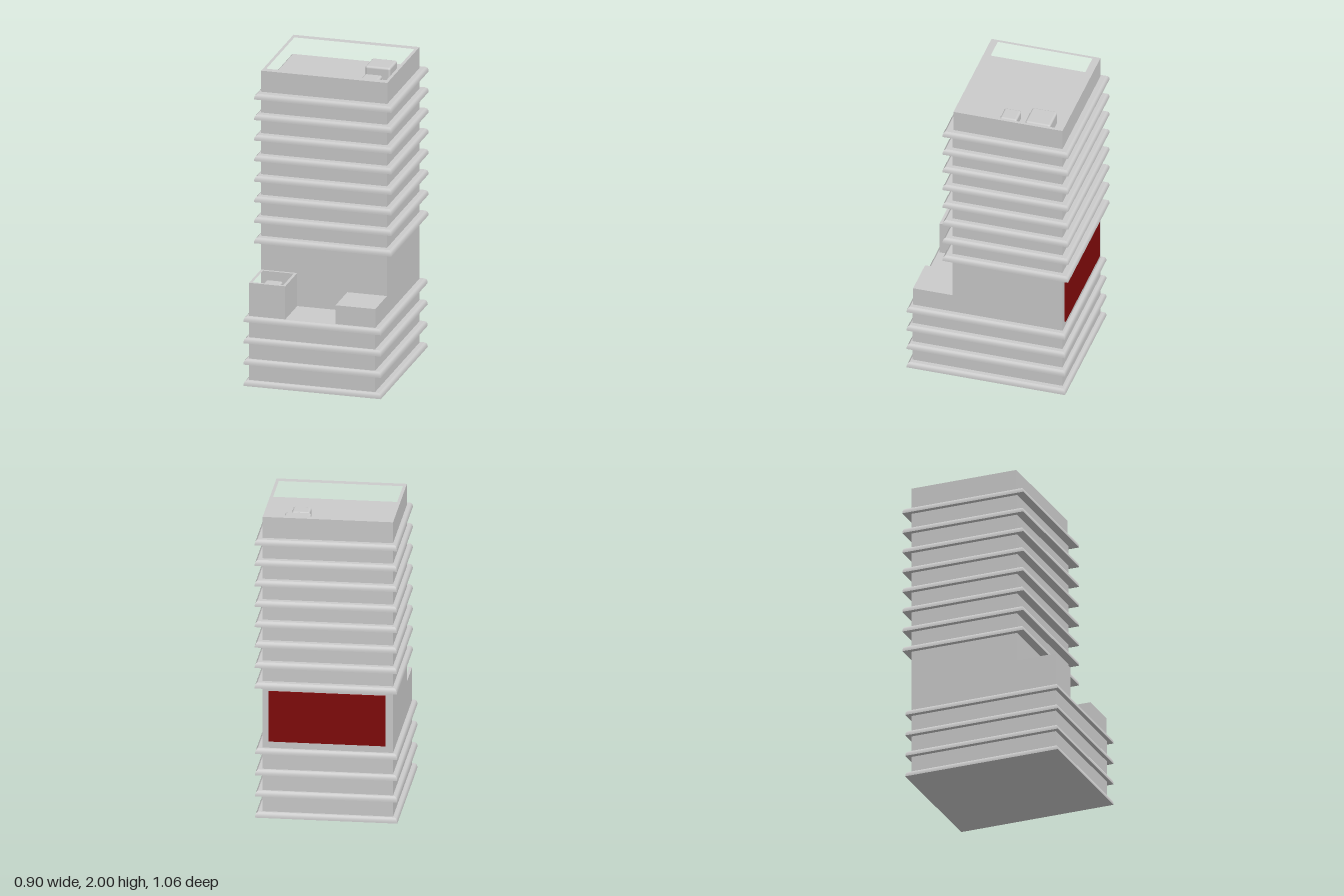
import * as THREE from 'three';
import { RoundedBoxGeometry } from 'three/addons/geometries/RoundedBoxGeometry.js';

const grey = new THREE.MeshStandardMaterial({ color: 0xcccccc });
const red = new THREE.MeshStandardMaterial({ color: 0x800a0a });

export function createModel() {
  const model = new THREE.Group();

  const add = (name, geometry, material = grey) => {
    const mesh = new THREE.Mesh(geometry, material);
    mesh.name = name;
    model.add(mesh);
    return mesh;
  };

  // Place a geometry centred on the span [x0..x1, y0..y1, z0..z1]
  const centre = (g, [x0, x1, y0, y1, z0, z1]) =>
    g.translate((x0 + x1) / 2, (y0 + y1) / 2, (z0 + z1) / 2);
  const size = ([x0, x1, y0, y1, z0, z1]) => [x1 - x0, y1 - y0, z1 - z0];

  const box = (name, span, material) =>
    add(name, centre(new THREE.BoxGeometry(...size(span)), material && span), material)
  ;
  const block = (name, span, material) =>
    add(name, centre(new THREE.BoxGeometry(...size(span)), span), material);
  const unit = (name, span) =>
    add(name, centre(new RoundedBoxGeometry(...size(span), 3, 0.014), span));

  // Rectangular wall ring: outer span with separate wall thickness in x and z
  const parapet = (name, [x0, x1, y0, y1, z0, z1], tx, tz) => {
    const rect = (Type, a, b, c, d) => {
      const r = new Type();
      r.moveTo(a, -c);
      r.lineTo(b, -c);
      r.lineTo(b, -d);
      r.lineTo(a, -d);
      r.closePath();
      return r;
    };
    const shape = rect(THREE.Shape, x0, x1, z0, z1);
    shape.holes.push(rect(THREE.Path, x0 + tx, x1 - tx, z0 + tz, z1 - tz));
    const g = new THREE.ExtrudeGeometry(shape, { depth: y1 - y0, bevelEnabled: false });
    add(name, g.rotateX(-Math.PI / 2).translate(0, y0, 0));
  };

  // Floor ledge: a slab whose upper outer edge rounds inward
  const ledge = (name, y, z0, z1) => {
    const w = 0.9, h = 0.035, d = z1 - z0, round = 0.02;
    const g = new THREE.BoxGeometry(w, h, d, 1, 5, 1);
    const p = g.attributes.position;
    for (let i = 0; i < p.count; i++) {
      const t = p.getY(i) / h + 0.5;
      const inset = round * (1 - Math.sqrt(1 - 0.98 * t * t));
      p.setX(i, Math.sign(p.getX(i)) * (w / 2 - inset));
      p.setZ(i, Math.sign(p.getZ(i)) * (d / 2 - inset));
    }
    g.computeVertexNormals();
    add(name, g.translate(0, y + h / 2, (z0 + z1) / 2));
  };

  // Main masses
  const left = -0.42, right = 0.405, back = -0.48, front = 0.24, porch = 0.505;
  block('podium', [left, right, 0, 0.457, back, porch]);
  block('tower', [left, right, 0.457, 1.84, back, front]);
  parapet('roofParapet', [left, right, 1.84, 2, back, 0.235], 0.02, 0.047);

  // Ledges around each storey
  for (let i = 0; i < 4; i++) ledge('podiumLedge', i * 0.1417, -0.51, 0.53);
  for (let i = 0; i < 8; i++) ledge('towerLedge', 0.87 + i * 0.1365, -0.53, 0.295);

  // Rooftop equipment
  unit('largeRoofUnit', [0.13, 0.295, 1.82, 1.94, -0.365, -0.2]);
  unit('smallRoofUnit', [0.15, 0.265, 1.82, 1.915, -0.135, -0.025]);

  // Podium terrace: open-topped enclosure with a unit inside, and a solid block
  block('enclosureBase', [left, -0.183, 0.457, 0.58, front, porch]);
  parapet('enclosureWalls', [left, -0.183, 0.58, 0.68, front, porch], 0.018, 0.018);
  unit('enclosureUnit', [-0.375, -0.265, 0.56, 0.63, 0.275, 0.46]);
  block('terraceBlock', [0.145, right, 0.457, 0.585, front, 0.5]);

  // Coloured panel on the rear wall
  block('rearPanel', [-0.373, 0.367, 0.505, 0.84, -0.49, back], red);

  return model;
}
